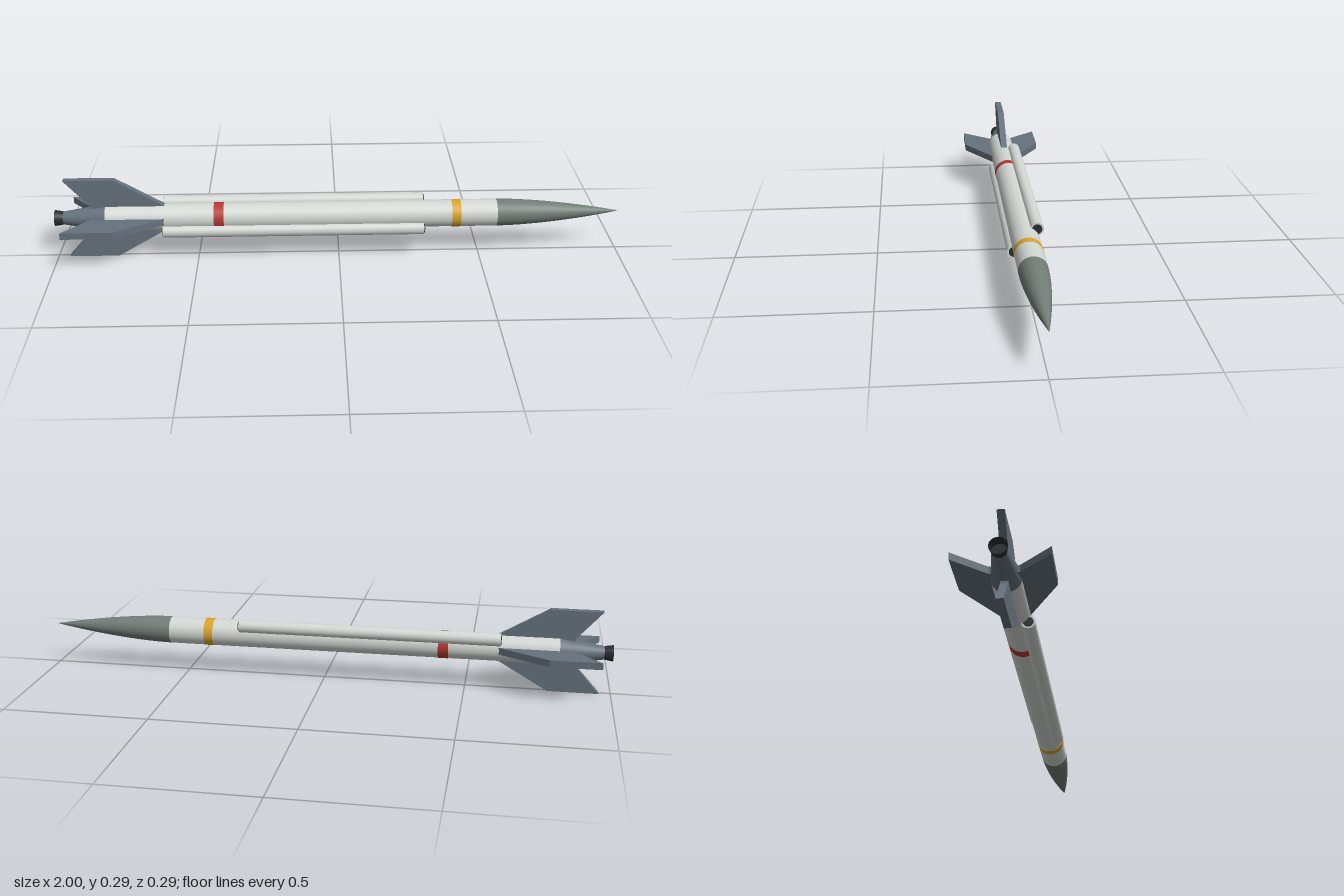
import * as THREE from 'three';

const R = 0.048;          // body radius
const AXIS_Y = 0.147;     // height of the long axis

const mat = (color, side = THREE.FrontSide) => new THREE.MeshStandardMaterial({ color, side });
const white = mat(0xd3d8d4);
const noseGrey = mat(0x737d78);
const finGrey = mat(0x66717c);
const dark = mat(0x2a2e32, THREE.DoubleSide);
const red = mat(0xb83a32);
const yellow = mat(0xd8a52c);

function add(parent, name, geometry, material) {
  const mesh = new THREE.Mesh(geometry, material);
  mesh.name = name;
  parent.add(mesh);
  return mesh;
}

// Solid of revolution about x; points are [x, radius] from tail to nose
function turned(points, segments = 40) {
  const g = new THREE.LatheGeometry(points.map(([x, r]) => new THREE.Vector2(r, x)), segments);
  return g.rotateZ(-Math.PI / 2);
}

// Straight cylinder along x
function rod(x0, x1, r, open = false, segments = 40) {
  return new THREE.CylinderGeometry(r, r, x1 - x0, segments, 1, open)
    .rotateZ(-Math.PI / 2)
    .translate((x0 + x1) / 2, 0, 0);
}

export function createModel() {
  const model = new THREE.Group();
  model.name = 'rocket';
  const axis = new THREE.Group();
  axis.name = 'airframe';
  axis.position.y = AXIS_Y;
  model.add(axis);

  // Main tube and painted bands
  add(axis, 'body', rod(-0.82, 0.56, R), white);
  add(axis, 'redBand', rod(-0.44, -0.405, R + 0.001), red);
  add(axis, 'yellowBand', rod(0.4, 0.432, R + 0.001), yellow);

  // Ogive nose
  const nose = [];
  for (let i = 0; i <= 16; i++) {
    const t = i / 16;
    nose.push([0.56 + 0.44 * t, R * (1 - t ** 1.7)]);
  }
  add(axis, 'noseCone', turned(nose), noseGrey);

  // Tapered tail and flared nozzle
  add(axis, 'tailCone', turned([[-0.97, 0.023], [-0.82, R]]), finGrey);
  add(axis, 'nozzle', turned([[-1, 0.028], [-0.985, 0.026], [-0.965, 0.022]]), dark);
  add(axis, 'nozzleThroat', rod(-0.972, -0.968, 0.0225), dark);

  // Four swept fins
  const outline = new THREE.Shape([
    [-0.61, 0.045], [-0.785, 0.147], [-0.96, 0.147], [-0.87, 0.046], [-0.87, 0.02], [-0.61, 0.02],
  ].map(([x, y]) => new THREE.Vector2(x, y)));
  const finGeometry = new THREE.ExtrudeGeometry(outline, { depth: 0.024, bevelEnabled: false })
    .translate(0, 0, -0.012);
  for (let i = 0; i < 4; i++) {
    add(axis, 'fin', finGeometry, finGrey).rotation.x = i * Math.PI / 2;
  }

  // Two side tubes on opposite diagonals, with dark plugs in their ends
  for (const s of [1, -1]) {
    const tube = new THREE.Group();
    tube.name = 'sideTube';
    tube.position.set(0, -0.039 * s, 0.039 * s);
    add(tube, 'tubeShell', rod(-0.62, 0.3, 0.0225, false, 28), white);
    add(tube, 'tubePlug', rod(-0.622, 0.304, 0.0165, false, 28), dark);
    axis.add(tube);
  }
  return model;
}
